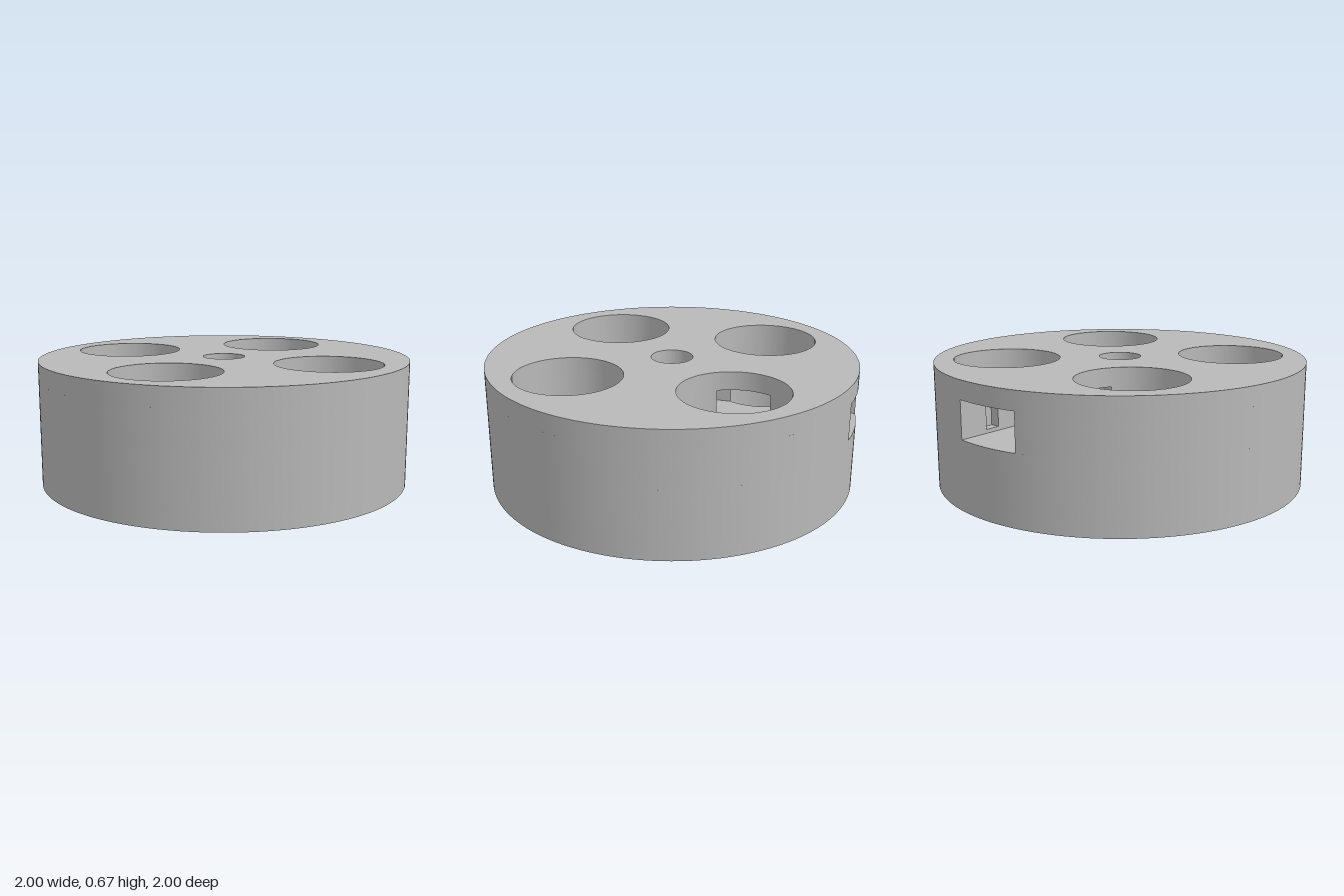
import * as THREE from 'three';
import { toCreasedNormals } from 'three/addons/utils/BufferGeometryUtils.js';

const BORE = 0.285, BOLT = 0.093, CENTRE = 0.113, C = 0.433; // radii and bore offset
const W = 0.185, SLOT_END = 0.12;                            // slot half width, inner end
const PI = Math.PI;

function circle(Type, x, y, r) {
  const c = new Type();
  c.absarc(x, y, r, 0, 2 * PI, false);
  return c;
}

// Round plate with the given round holes [x, y, r]
function disc(holes) {
  const s = circle(THREE.Shape, 0, 0, 1);
  holes.forEach(h => s.holes.push(circle(THREE.Path, ...h)));
  return s;
}

// Plate with a slot from the back rim, breaking into both rear bores
function slottedDisc(notchDepth) {
  const a = Math.acos(W), b = Math.acos((C - W) / BORE);
  const s = new THREE.Shape();
  s.absarc(0, 0, 1, PI - a, a + 2 * PI, false);
  const notch = [[W, 0.82], [W + notchDepth, 0.82], [W + notchDepth, 0.74], [W, 0.74]];
  if (notchDepth) notch.forEach(([x, y]) => s.lineTo(x, y));
  s.absarc(C, C, BORE, PI - b, -PI + b, true);
  s.lineTo(W, SLOT_END);
  s.lineTo(-W, SLOT_END);
  s.absarc(-C, C, BORE, -b, -2 * PI + b, true);
  if (notchDepth) notch.reverse().forEach(([x, y]) => s.lineTo(-x, y));
  s.closePath();
  for (const x of [-C, C]) s.holes.push(circle(THREE.Path, x, -C, BORE));
  return s;
}

export function createModel() {
  const group = new THREE.Group();
  group.name = 'roundHolder';
  const grey = new THREE.MeshStandardMaterial({ color: 0xb8b8b8 });
  grey.name = 'grey';

  const four = r => [[C, C, r], [-C, C, r], [-C, -C, r], [C, -C, r]];

  // Stacked layers: name, bottom, top, outline
  const layers = [
    ['baseWithBoltHoles', 0, 0.07, disc(four(BOLT))],
    ['lowerBody', 0.07, 0.37, disc(four(BORE))],
    ['slotFloorLayer', 0.37, 0.39, slottedDisc(0)],
    ['slotNotchLayer', 0.39, 0.55, slottedDisc(0.05)],
    ['slotCeilingLayer', 0.55, 0.57, slottedDisc(0)],
    ['topWithCentreHole', 0.57, 0.67, disc([...four(BORE), [0, 0, CENTRE]])],
  ];
  for (const [name, y0, y1, shape] of layers) {
    const geo = new THREE.ExtrudeGeometry(shape, { depth: y1 - y0, bevelEnabled: false, curveSegments: 96 });
    geo.rotateX(-PI / 2);
    const mesh = new THREE.Mesh(toCreasedNormals(geo, 0.5), grey);
    mesh.name = name;
    mesh.position.y = y0;
    group.add(mesh);
  }
  return group;
}
